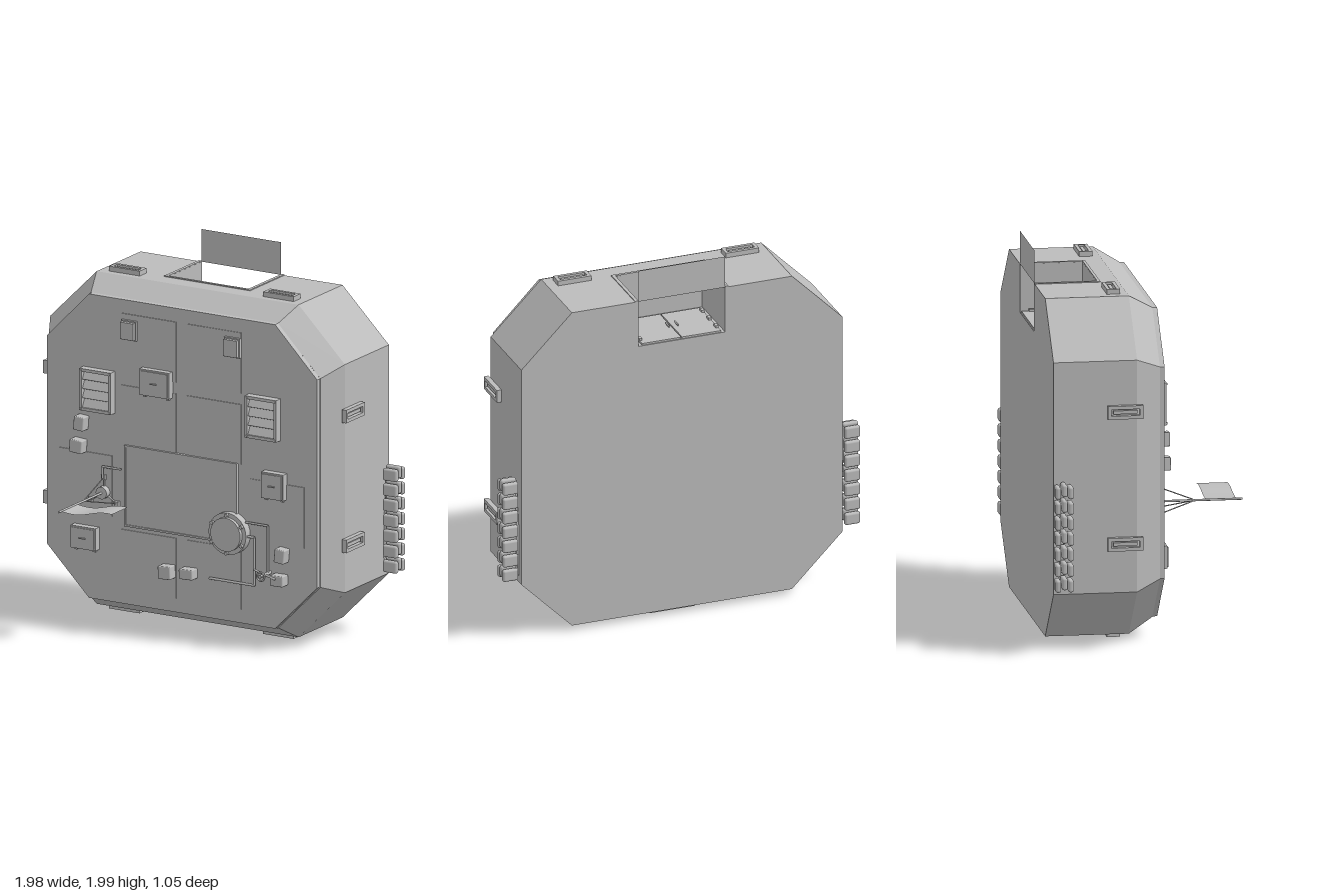
import * as THREE from 'three';
import { RoundedBoxGeometry } from 'three/addons/geometries/RoundedBoxGeometry.js';

export function createModel() {
  const root = new THREE.Group();
  const grey = new THREE.MeshStandardMaterial({ color: 0xbcbcbc });
  grey.name = 'hullGrey';
  const sheet = new THREE.MeshStandardMaterial({ color: 0xbcbcbc, side: THREE.DoubleSide });
  sheet.name = 'sheetGrey';
  const F = 0.065; // front surface depth
  const V = (x, y, z) => new THREE.Vector3(x, y, z);

  const add = (name, geo, mat = grey, parent = root) => {
    const m = new THREE.Mesh(geo, mat);
    m.name = name;
    parent.add(m);
    return m;
  };
  const box = (name, w, h, d, x, y, z, parent = root) => {
    const m = add(name, new THREE.BoxGeometry(w, h, d), grey, parent);
    m.position.set(x, y, z);
    return m;
  };
  // box on the front face given by its x and y ranges
  const plate = (name, x0, x1, y0, y1, d) =>
    box(name, x1 - x0, y1 - y0, d, (x0 + x1) / 2, (y0 + y1) / 2, F + d / 2);
  const rod = (name, a, b, r) => {
    const m = add(name, new THREE.CylinderGeometry(r, r, a.distanceTo(b), 8));
    m.position.copy(a).lerp(b, 0.5);
    m.quaternion.setFromUnitVectors(V(0, 1, 0), b.clone().sub(a).normalize());
    return m;
  };
  const pipe = (name, pts, r) => {
    for (let i = 1; i < pts.length; i++) rod(name, pts[i - 1], pts[i], r);
  };
  const disc = (name, r, d, x, y, z, seg = 24) => {
    const m = add(name, new THREE.CylinderGeometry(r, r, d, seg).rotateX(Math.PI / 2));
    m.position.set(x, y, z);
    return m;
  };
  // rectangular ring, w by h, extruded along z
  const ring = (w, h, t, d) => {
    const rect = (a, b) => [[-a, -b], [a, -b], [a, b], [-a, b]].map(p => new THREE.Vector2(...p));
    const s = new THREE.Shape(rect(w / 2, h / 2));
    s.holes.push(new THREE.Path(rect(w / 2 - t, h / 2 - t).reverse()));
    return new THREE.ExtrudeGeometry(s, { depth: d, bevelEnabled: false });
  };

  // Hull: eight-sided, notched at the back of the roof
  const oct = (ax, bx, y0, y1, c0, c1) => [[-bx, y0], [bx, y0], [ax, c0], [ax, c1], [bx, y1], [-bx, y1], [-ax, c1], [-ax, c0]];
  const outer = oct(0.89, 0.61, 0.04, 1.825, 0.32, 1.545);
  const inner = oct(0.82, 0.565, 0.115, 1.75, 0.37, 1.49);
  const slab = (name, pts, z0, z1) => add(name, new THREE.ExtrudeGeometry(
    new THREE.Shape(pts.map(p => new THREE.Vector2(...p))), { depth: z1 - z0, bevelEnabled: false }).translate(0, 0, z0));
  const notch = [[0.24, 1.825], [0.24, 1.57], [-0.24, 1.57], [-0.24, 1.825]];
  slab('rearHull', [...outer.slice(0, 5), ...notch, ...outer.slice(5)], -0.527, -0.2);
  slab('frontHull', outer, -0.2, -0.09);
  const pos = [];
  outer.forEach((p, i) => {
    const j = (i + 1) % 8;
    const a = [...p, -0.09], b = [...outer[j], -0.09], c = [...inner[j], 0.04], d = [...inner[i], 0.04];
    pos.push(...a, ...b, ...c, ...a, ...c, ...d);
  });
  const bevel = new THREE.BufferGeometry();
  bevel.setAttribute('position', new THREE.Float32BufferAttribute(pos, 3));
  bevel.computeVertexNormals();
  add('hullBevel', bevel);
  slab('frontPlate', inner.map(([x, y]) => [x * 0.995, 0.9325 + (y - 0.9325) * 0.998]), 0.035, F);

  // Hatch recess: doors on its floor, rim and upright flap
  add('hatchFlap', new THREE.PlaneGeometry(0.48, 0.175), sheet).position.set(0, 1.9125, -0.526);
  box('hatchRimFront', 0.52, 0.008, 0.015, 0, 1.826, -0.192);
  for (const s of [-1, 1]) {
    box('hatchRimSide', 0.018, 0.008, 0.33, s * 0.25, 1.826, -0.362);
    box('hatchDoor', 0.216, 0.01, 0.3, s * 0.111, 1.575, -0.372);
    rod('doorHandle', V(s * 0.025, 1.595, -0.41), V(s * 0.025, 1.595, -0.36), 0.005);
    for (const z of [-0.47, -0.37, -0.27]) box('doorHinge', 0.016, 0.015, 0.03, s * 0.212, 1.585, z);
  }

  // Flat access panels
  for (const [y0, y1] of [[1.35, 1.675], [0.97, 1.29], [0.19, 0.515]]) {
    plate('accessPanel', -0.365, -0.035, y0, y1, 0.005);
    plate('accessPanel', 0.03, 0.36, y0, y1, 0.005);
  }
  plate('sidePanel', -0.745, -0.42, 0.575, 0.9, 0.005);
  plate('sidePanel', 0.415, 0.74, 0.575, 0.9, 0.005);
  plate('centrePanel', -0.335, 0.335, 0.54, 0.97, 0.012);
  add('centreFrame', ring(0.68, 0.435, 0.01, 0.018)).position.set(0, 0.755, F);

  // Louvred vents and upper lamps
  for (const s of [-1, 1]) {
    add('ventFrame', ring(0.19, 0.225, 0.016, 0.045)).position.set(s * 0.5, 1.243, F);
    for (let i = 0; i < 4; i++)
      box('ventSlat', 0.165, 0.05, 0.006, s * 0.5, 1.168 + i * 0.05, F + 0.024).rotation.x = -0.5;
    for (const cx of [-1, 1]) for (const cy of [-1, 1])
      disc('ventBolt', 0.006, 0.006, s * 0.5 + cx * 0.086, 1.243 + cy * 0.104, F + 0.048, 8);
    plate('upperLampBase', s * 0.312 - 0.046, s * 0.312 + 0.046, 1.54, 1.645, 0.02);
    plate('upperLamp', s * 0.312 - 0.04, s * 0.312 + 0.04, 1.547, 1.638, 0.04);
  }

  // Equipment cases with lid, handle and feet
  for (const [x0, x1, y0, y1] of [[-0.235, -0.055, 1.265, 1.405], [0.5, 0.635, 0.82, 0.96], [-0.65, -0.5, 0.385, 0.505]]) {
    const x = (x0 + x1) / 2;
    plate('equipmentCase', x0, x1, y0, y1, 0.04);
    plate('caseLid', x0 + 0.008, x1 - 0.008, y0 + 0.008, y1 - 0.008, 0.046);
    box('caseHandle', 0.04, 0.006, 0.008, x, (y0 + y1) / 2, F + 0.05);
    for (const fx of [x0 + 0.02, x1 - 0.02]) box('caseFoot', 0.015, 0.014, 0.02, fx, y0 - 0.005, F + 0.012);
  }

  // Small tilted boxes
  for (const [x, y, w, h, a] of [[-0.592, 1.06, 0.06, 0.075, -0.07], [-0.61, 0.935, 0.075, 0.07, -0.07], [0.62, 0.525, 0.06, 0.075, -0.1],
    [0.603, 0.39, 0.078, 0.058, 0.02], [-0.075, 0.335, 0.075, 0.07, 0.05], [0.055, 0.345, 0.082, 0.055, 0.03]]) {
    const m = add('smallBox', new RoundedBoxGeometry(w, h, 0.06, 1, 0.006));
    m.position.set(x, y, F + 0.03);
    m.rotation.z = a;
  }

  // Round hatch with bolts
  disc('roundHatchBase', 0.113, 0.045, 0.3, 0.597, F + 0.022, 32);
  disc('roundHatchLid', 0.09, 0.065, 0.3, 0.597, F + 0.032, 32);
  for (let i = 0; i < 6; i++) {
    const a = (i + 0.5) * Math.PI / 3;
    disc('hatchBolt', 0.01, 0.02, 0.3 + 0.102 * Math.cos(a), 0.597 + 0.102 * Math.sin(a), F + 0.05, 8);
  }

  // Pipes and valve
  const P = 0.09;
  pipe('valvePipe', [V(0.4, 0.67, P), V(0.533, 0.67, P), V(0.533, 0.415, P)], 0.006);
  pipe('drainPipe', [V(0.4, 0.595, P), V(0.452, 0.595, P), V(0.452, 0.338, P), V(0.18, 0.338, P)], 0.007);
  rod('valveStem', V(0.533, 0.415, F), V(0.533, 0.415, 0.17), 0.009);
  const wheel = add('valveWheel', new THREE.TorusGeometry(0.023, 0.005, 8, 20));
  wheel.position.set(0.533, 0.415, 0.16);
  rod('valveSpoke', V(0.51, 0.415, 0.16), V(0.556, 0.415, 0.16), 0.004);
  rod('valveLever', V(0.47, 0.435, 0.125), V(0.6, 0.4, 0.125), 0.006);

  // Flagpole with tripod braces and waving flag
  const fx = -0.465, fy = 0.702;
  rod('flagPole', V(fx, fy, F), V(fx, fy, 0.525), 0.006);
  disc('poleBase', 0.033, 0.04, fx, fy, F + 0.02, 16);
  for (const [x, y] of [[-0.545, 0.65], [-0.387, 0.65], [-0.465, 0.782]]) {
    box('braceFoot', 0.025, 0.025, 0.02, x, y, F + 0.01);
    rod('poleBrace', V(x, y, F + 0.01), V(fx, fy, 0.28), 0.003);
    rod('baseStrut', V(x, y, F + 0.012), V(fx, fy, F + 0.012), 0.005);
  }
  pipe('cablePipe', [V(fx, 0.78, P), V(fx, 0.842, P), V(-0.355, 0.842, P)], 0.006);
  const flag = new THREE.PlaneGeometry(0.3, 0.16, 14, 2).rotateX(-Math.PI / 2).translate(fx + 0.15, fy, 0.425);
  const fp = flag.attributes.position;
  for (let i = 0; i < fp.count; i++) {
    const t = (fp.getX(i) - fx) / 0.3;
    fp.setY(i, fy + t * 0.015 - 0.012 * Math.sin(t * 5.5));
    fp.setZ(i, fp.getZ(i) - t * 0.012);
  }
  flag.computeVertexNormals();
  add('flag', flag, sheet);

  // Grab handles: tapered block ring with inner bar
  const handle = (x, y, z, rot) => {
    const g = new THREE.Group();
    g.name = 'grabHandle';
    add('handleRim', ring(0.185, 0.07, 0.018, 0.026), grey, g);
    box('handleBar', 0.125, 0.018, 0.018, 0, 0, 0.009, g);
    g.position.set(x, y, z);
    g.rotation.set(...rot);
    root.add(g);
  };
  for (const s of [-1, 1]) {
    handle(s * 0.89, 1.275, -0.153, [0, s * Math.PI / 2, 0]);
    handle(s * 0.89, 0.578, -0.153, [0, s * Math.PI / 2, 0]);
    handle(s * 0.465, 1.825, -0.162, [-Math.PI / 2, 0, 0]);
    handle(s * 0.465, 0.04, -0.162, [Math.PI / 2, 0, 0]);
  }

  // Underside vents
  for (const [x, w, d] of [[0.033, 0.25, 0.03], [-0.355, 0.17, 0.022], [0.4, 0.17, 0.022]]) {
    const m = add('bottomVentFrame', ring(w, 0.2, 0.018, d));
    m.position.set(x, 0.04, -0.375);
    m.rotation.x = Math.PI / 2;
    for (let i = 0; i < 5; i++) box('bottomVentSlat', w - 0.03, 0.012, 0.018, x, 0.034, -0.435 + i * 0.03);
  }
  rod('bottomLatch', V(-0.28, 0.025, -0.46), V(-0.18, 0.025, -0.46), 0.008);

  // Spare track links on both sides
  for (const s of [-1, 1]) {
    rod('linkRail', V(s * 0.885, 0.36, -0.485), V(s * 0.91, 0.9, -0.485), 0.01);
    for (let r = 0; r < 7; r++) for (let c = 0; c < 3; c++) {
      const m = add('trackLink', new RoundedBoxGeometry(0.086, 0.066, 0.029, 2, 0.012));
      m.position.set(s * 0.948, 0.382 + r * 0.082 + (c === 1 ? 0.012 : 0), -0.449 - c * 0.033);
    }
    for (let r = 0; r < 7; r++) rod('linkPin', V(s * 0.948, 0.385 + r * 0.082, -0.525), V(s * 0.948, 0.385 + r * 0.082, -0.44), 0.012);
  }
  return root;
}
